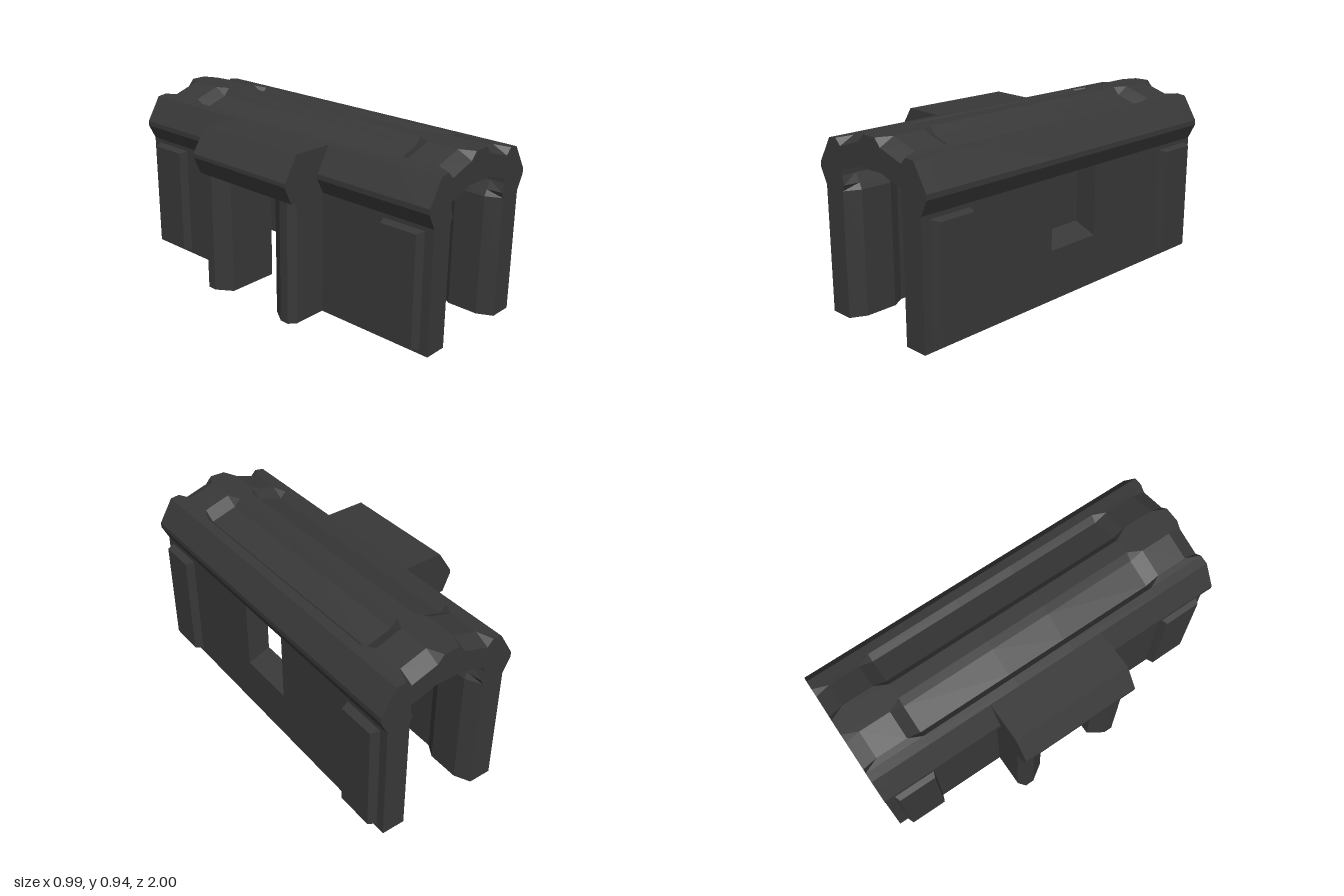
import * as THREE from 'three';

const CX = 0.107;      // centre line of the main passage
const DOOR = 0.165;    // half width of window and doorway
const ALCOVE = 0.33;   // half width of the side entrance

// Cross-section of the passage, counter-clockwise seen from +z.
// t = 0: roof grooves cut in, plain walls. t = 1: full roof, inner pilasters.
function section(t) {
  const g = 0.04 * (1 - t), w = 0.218 - 0.04 * t;
  const outer = [[0.343, 0], [0.343, 0.27], [0.343, 0.65], [0.383, 0.73], [0.383, 0.757],
    [0.303, 0.888], [0.253, 0.894], [0.22, 0.9 - g], [0.078, 0.945 - g], [0.042, 0.945]];
  const inner = [[w, 0], [w, 0.32], [w, 0.643], [0.203 - 0.009 * t, 0.675],
    [0.218, 0.72], [0.218, 0.745], [0.08, 0.79]];
  const right = ([u, y]) => [CX + u, y], left = ([u, y]) => [CX - u, y];
  return [...outer.map(right), ...outer.map(left).reverse(),
    ...inner.map(left), ...inner.map(right).reverse()];
}

// Collects flat triangles
function builder() {
  const pos = [];
  const tri = (a, b, c) => pos.push(...a, ...b, ...c);
  const dist = (a, b) => Math.hypot(a[0] - b[0], a[1] - b[1], a[2] - b[2]);
  const quad = (a, b, c, d) => {   // split along the shorter diagonal
    if (dist(a, c) <= dist(b, d)) { tri(a, b, c); tri(a, c, d); }
    else { tri(a, b, d); tri(b, c, d); }
  };
  const build = () => {
    const geo = new THREE.BufferGeometry();
    geo.setAttribute('position', new THREE.Float32BufferAttribute(pos, 3));
    geo.computeVertexNormals();
    return geo;
  };
  return { tri, quad, build };
}

function passageGeometry() {
  const b = builder();
  const half = [[DOOR, 0], [0.68, 0], [0.75, 1], [0.92, 1], [1, 0]];
  const stations = [...half.map(([z, t]) => [-z, t]).reverse(), ...half];
  const rings = stations.map(([z, t]) => section(t).map(([x, y]) => [x, y, z]));
  const open = new Set([1, 31, 17, 18, 19, 20, 21]);   // window and doorway strips
  for (let s = 0; s < rings.length - 1; s++) {
    const A = rings[s], B = rings[s + 1], n = A.length;
    const middle = s === half.length - 1;
    for (let i = 0; i < n; i++) {
      if (middle && open.has(i)) continue;
      const j = (i + 1) % n;
      b.quad(A[i], A[j], B[j], B[i]);
    }
  }
  // end faces
  const first = rings[0], last = rings[rings.length - 1];
  const flat = last.map(p => new THREE.Vector2(p[0], p[1]));
  for (const [i, j, k] of THREE.ShapeUtils.triangulateShape(flat, [])) {
    b.tri(last[i], last[j], last[k]);
    b.tri(first[k], first[j], first[i]);
  }
  // window reveal: sloped sill, head and two sides
  const A = [1, 2, 31, 32].map(i => rings[half.length - 1][i]);
  const B = [1, 2, 31, 32].map(i => rings[half.length][i]);
  for (const i of [1, 3]) {
    const j = (i + 1) % 4;
    b.quad(A[i], B[i], B[j], A[j]);
  }
  b.quad(A[0], A[1], A[2], A[3]);
  b.quad(B[3], B[2], B[1], B[0]);
  return b.build();
}

function extrude(points, depth) {
  const shape = new THREE.Shape(points.map(([x, y]) => new THREE.Vector2(x, y)));
  return new THREE.ExtrudeGeometry(shape, { depth, bevelEnabled: false });
}

// Raised wall panel whose outer face is slightly smaller than its base
function panelGeometry(side) {
  const geo = new THREE.BoxGeometry(0.055, 0.61, 0.245);
  const p = geo.attributes.position;
  for (let i = 0; i < p.count; i++) {
    if (p.getX(i) * side > 0) {
      p.setY(i, p.getY(i) > 0 ? 0.295 : -0.29);
      p.setZ(i, p.getZ(i) * 0.84);
    }
  }
  const out = geo.toNonIndexed();
  out.computeVertexNormals();
  return out;
}

export function createModel() {
  const group = new THREE.Group();
  const stone = new THREE.MeshStandardMaterial({ color: 0x383838 });
  stone.name = 'darkGrey';
  const add = (name, geo) => {
    const mesh = new THREE.Mesh(geo, stone);
    mesh.name = name;
    group.add(mesh);
    return mesh;
  };

  add('passage', passageGeometry());

  // side entrance: roof block over two jambs
  const roof = extrude([[-0.112, 0.645], [-0.112, 0.72], [-0.196, 0.887], [-0.417, 0.892],
    [-0.5, 0.765], [-0.5, 0.745], [-0.457, 0.65], [-0.42, 0.645]], 2 * ALCOVE);
  roof.translate(0, 0, -ALCOVE);
  add('entranceRoof', roof);
  for (const s of [1, -1]) {
    const jamb = extrude([[-0.112, ALCOVE], [-0.42, ALCOVE], [-0.457, 0.3], [-0.457, 0.25],
      [-0.4, DOOR], [-0.112, DOOR]].map(([x, z]) => [x, -s * z]), 0.66);
    jamb.rotateX(-Math.PI / 2);
    add(s > 0 ? 'frontJamb' : 'backJamb', jamb);
  }

  // raised panels near both ends of each outer wall
  for (const side of [1, -1]) {
    for (const end of [1, -1]) {
      const panel = add('wallPanel', panelGeometry(side));
      panel.position.set(CX + side * 0.36, 0.325, end * 0.832);
    }
  }
  return group;
}
